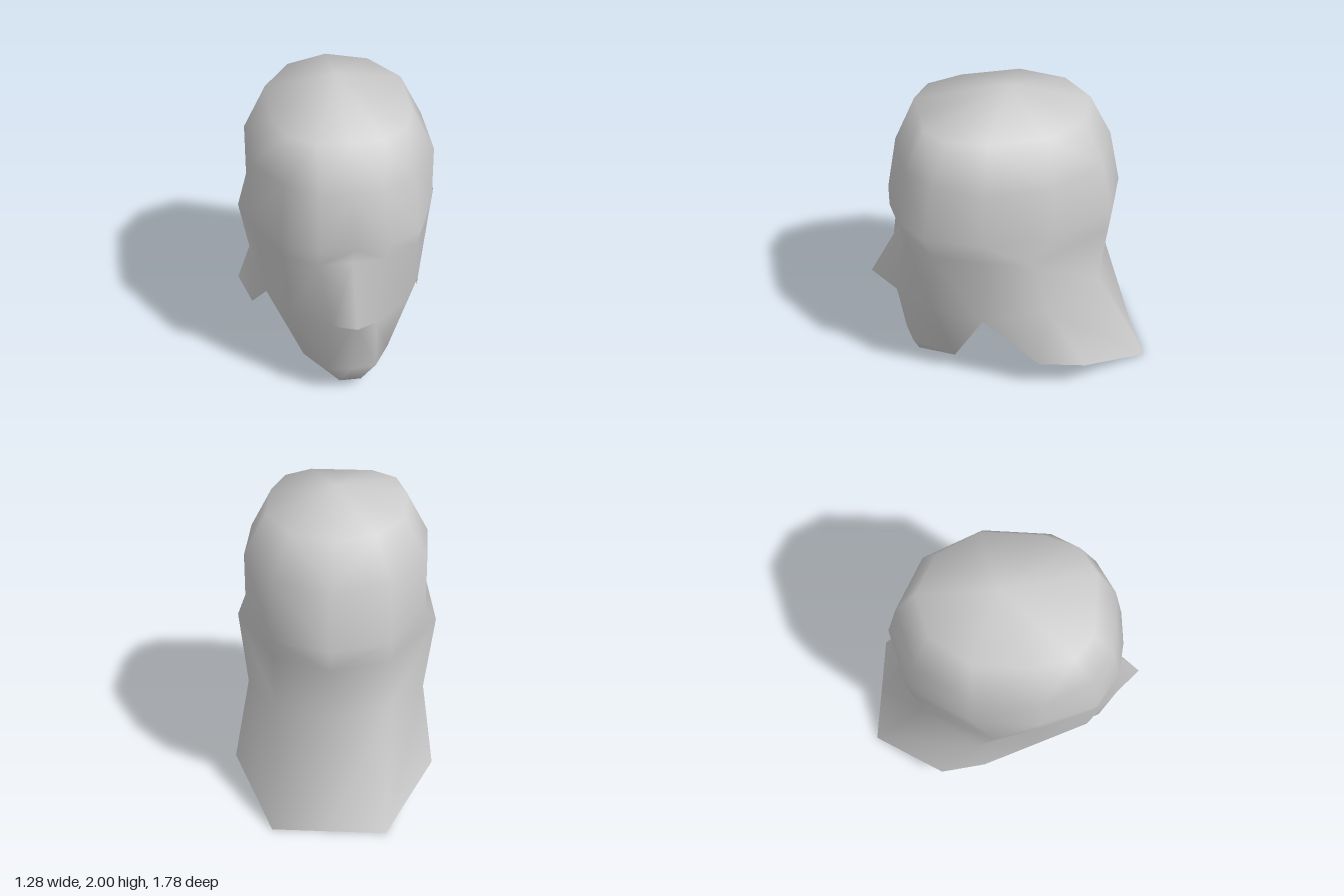
import * as THREE from 'three';
import { mergeVertices } from 'three/addons/utils/BufferGeometryUtils.js';

const grey = new THREE.MeshStandardMaterial({ color: 0xcccccc, side: THREE.DoubleSide });
grey.name = 'plain grey';

// Crown rings: height, then [x, z] from the front centre round to the back centre
const crown = [
  [1.86, [[0, 0.54], [0.2, 0.54], [0.36, 0.43], [0.43, 0.2], [0.43, -0.18], [0.26, -0.44], [0, -0.54]]],
  [1.58, [[0, 0.68], [0.2, 0.67], [0.4, 0.54], [0.57, 0.25], [0.57, -0.18], [0.36, -0.54], [0, -0.68]]],
  [1.22, [[0, 0.75], [0.21, 0.73], [0.43, 0.6], [0.57, 0.25], [0.57, -0.18], [0.36, -0.61], [0, -0.75]]],
];

// Lower columns below the brow; the last point repeats to fill a column
const nose = [[0, 1.08, 0.68], [0, 0.72, 0.89], [0, 0.65, 0.75], [0, 0.22, 0.68], [0, 0.07, 0.61], [0, 0.145, 0.4]];
const nostril = [[0.21, 1.08, 0.68], [0.14, 0.65, 0.75], [0.14, 0.65, 0.75], [0.16, 0.22, 0.66], [0.07, 0.07, 0.61], [0.28, 0.145, 0.4]];
const cheek = [[0.42, 1.08, 0.55], [0.37, 0.65, 0.56], [0.37, 0.65, 0.56], [0.28, 0.145, 0.4]];
const jawNotch = [[0.55, 1.08, 0.26], [0.5, 0.58, 0.25]];
const ear = [[0.64, 1.08, -0.04], [0.57, 0.65, -0.16], [0.57, 0.65, -0.16], [0.57, 0.22, -0.11]];
const neckSide = [ear[0], ear[1], ear[1], [0.64, 0.22, -0.4]];
const nape = [[0.36, 1.08, -0.59], [0.36, 0.72, -0.54], [0.36, 0.72, -0.54], [0.36, 0, -0.89]];
const neckBack = [[0, 1.08, -0.73], [0, 0.72, -0.68], [0, 0.72, -0.68], [0, 0, -0.89]];
const lower = [nose, nostril, cheek, jawNotch, ear, neckSide, nape, neckBack];
const LOWER_ROWS = 6;

// Full column: apex, crown rings, then the lower points
function column(i) {
  const ring = i > 4 ? i - 1 : i; // the neck side column shares the ear column above
  const points = [[0, 2, -0.03]];
  for (const [y, xz] of crown) points.push([xz[ring][0], y, xz[ring][1]]);
  for (let r = 0; r < LOWER_ROWS; r++) points.push(lower[i][Math.min(r, lower[i].length - 1)]);
  return points;
}

function headGeometry() {
  const positions = [];
  const same = (p, q) => p.every((v, k) => v === q[k]);
  // Each triangle is added with its mirror image
  const triangle = (a, b, c) => {
    if (same(a, b) || same(b, c) || same(a, c)) return;
    positions.push(...a, ...b, ...c);
    for (const [x, y, z] of [a, c, b]) positions.push(x === 0 ? 0 : -x, y, z);
  };
  const columns = lower.map((_, i) => column(i));
  for (let i = 0; i + 1 < columns.length; i++) {
    const left = columns[i], right = columns[i + 1];
    for (let r = 0; r + 1 < left.length; r++) {
      triangle(left[r], left[r + 1], right[r + 1]);
      triangle(left[r], right[r + 1], right[r]);
    }
  }
  const soup = new THREE.BufferGeometry();
  soup.setAttribute('position', new THREE.Float32BufferAttribute(positions, 3));
  const geometry = mergeVertices(soup);
  geometry.computeVertexNormals();
  return geometry;
}

export function createModel() {
  const model = new THREE.Group();
  model.name = 'headModel';
  // Hollow head shell with nose, chin and open neck
  const head = new THREE.Mesh(headGeometry(), grey);
  head.name = 'headShell';
  model.add(head);
  return model;
}
